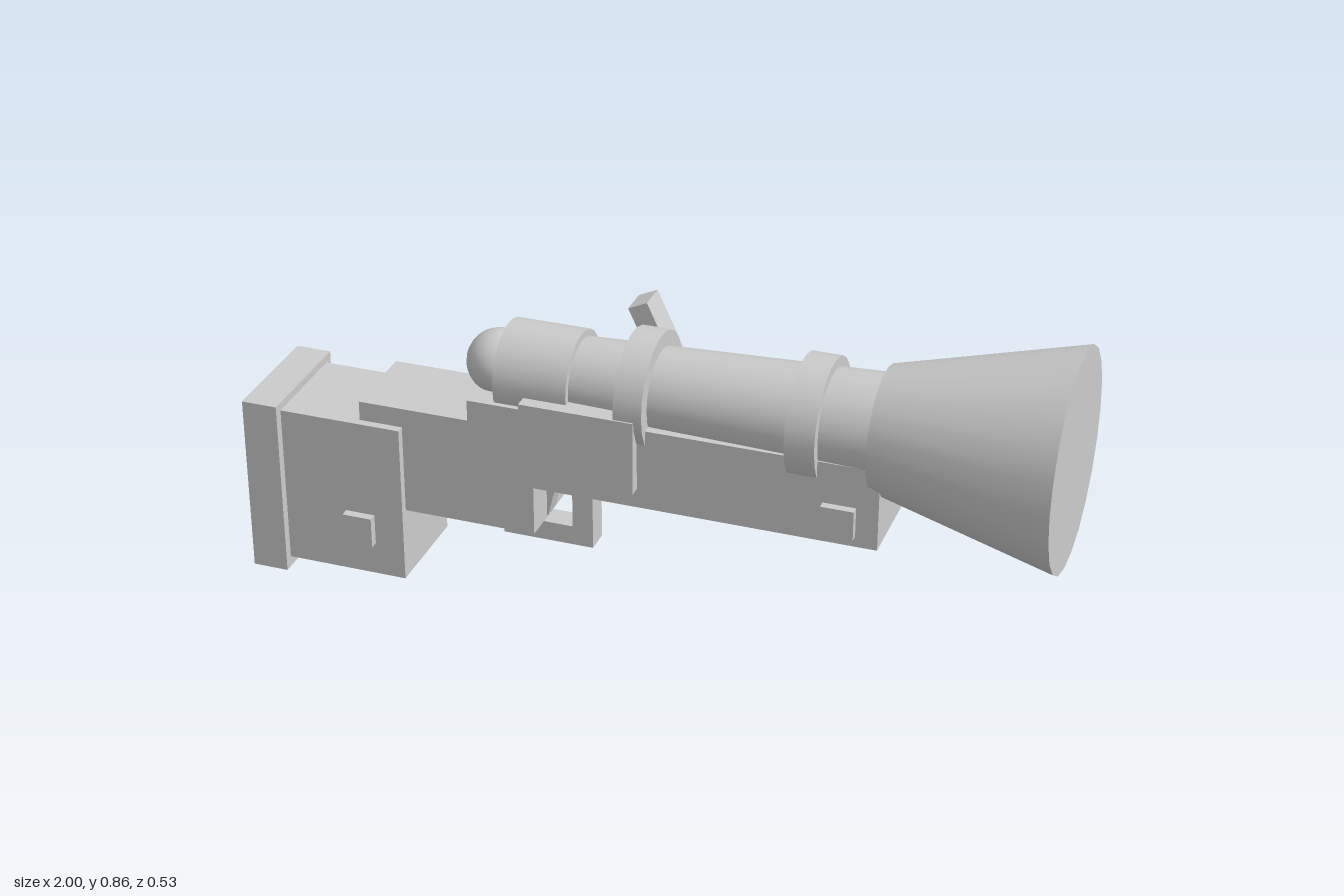
import * as THREE from 'three';

export function createModel() {
  const model = new THREE.Group();
  const material = new THREE.MeshStandardMaterial({ color: 0xcccccc });
  const AXIS_Y = 0.595; // height of the barrel axis

  function add(name, geometry) {
    const mesh = new THREE.Mesh(geometry, material);
    mesh.name = name;
    model.add(mesh);
    return mesh;
  }

  // Box given by its limits in x, y and z
  function box(name, x0, x1, y0, y1, z0, z1) {
    const mesh = add(name, new THREE.BoxGeometry(x1 - x0, y1 - y0, z1 - z0));
    mesh.position.set((x0 + x1) / 2, (y0 + y1) / 2, (z0 + z1) / 2);
    return mesh;
  }

  // Round section along x, from radius r0 at x0 to r1 at x1
  function round(name, x0, x1, r0, r1) {
    const geometry = new THREE.CylinderGeometry(r1, r0, x1 - x0, 22);
    geometry.rotateZ(-Math.PI / 2);
    add(name, geometry).position.set((x0 + x1) / 2, AXIS_Y, 0);
  }

  // Stock
  box('buttPlate', -1, -0.91, 0, 0.46, -0.154, 0.154);
  box('stock', -0.91, -0.6, 0.027, 0.44, -0.131, 0.131);
  box('neck', -0.71, -0.265, 0.21, 0.49, -0.11, 0.11);
  box('foreEnd', -0.425, 0.583, 0.343, 0.55, -0.12, 0.12);

  // Studs and plates on both sides
  box('stockStuds', -0.75, -0.675, 0.113, 0.192, -0.153, 0.153);
  box('foreEndStuds', 0.45, 0.53, 0.37, 0.445, -0.14, 0.14);
  box('sidePlates', -0.283, 0, 0.392, 0.58, -0.148, 0.148);

  // Trigger and guard
  box('guardBottom', -0.375, -0.145, 0.15, 0.2, -0.031, 0.031);
  box('guardFront', -0.197, -0.145, 0.2, 0.345, -0.031, 0.031);
  box('guardBack', -0.375, -0.3, 0.2, 0.25, -0.031, 0.031);
  const triggerShape = new THREE.Shape([
    [-0.305, 0.215], [-0.262, 0.215], [-0.23, 0.35], [-0.275, 0.35],
  ].map(([x, y]) => new THREE.Vector2(x, y)));
  const trigger = new THREE.ExtrudeGeometry(triggerShape, { depth: 0.05, bevelEnabled: false });
  add('trigger', trigger).position.z = -0.025;

  // Barrel with breech, rings and flared muzzle
  round('breech', -0.36, -0.177, 0.117, 0.117);
  round('barrel', -0.177, 0.555, 0.1, 0.13);
  round('rearRing', -0.05, 0.02, 0.146, 0.146);
  round('frontRing', 0.363, 0.435, 0.15, 0.15);
  round('muzzleBell', 0.555, 1, 0.15, 0.264);
  add('breechKnob', new THREE.SphereGeometry(0.08, 24, 16)).position.set(-0.387, 0.603, 0);

  // Slanted handle on the back
  const handle = box('boltHandle', -0.0785, -0.0265, 0.548, 0.738, -0.22, -0.145);
  handle.rotation.z = THREE.MathUtils.degToRad(25);

  return model;
}
